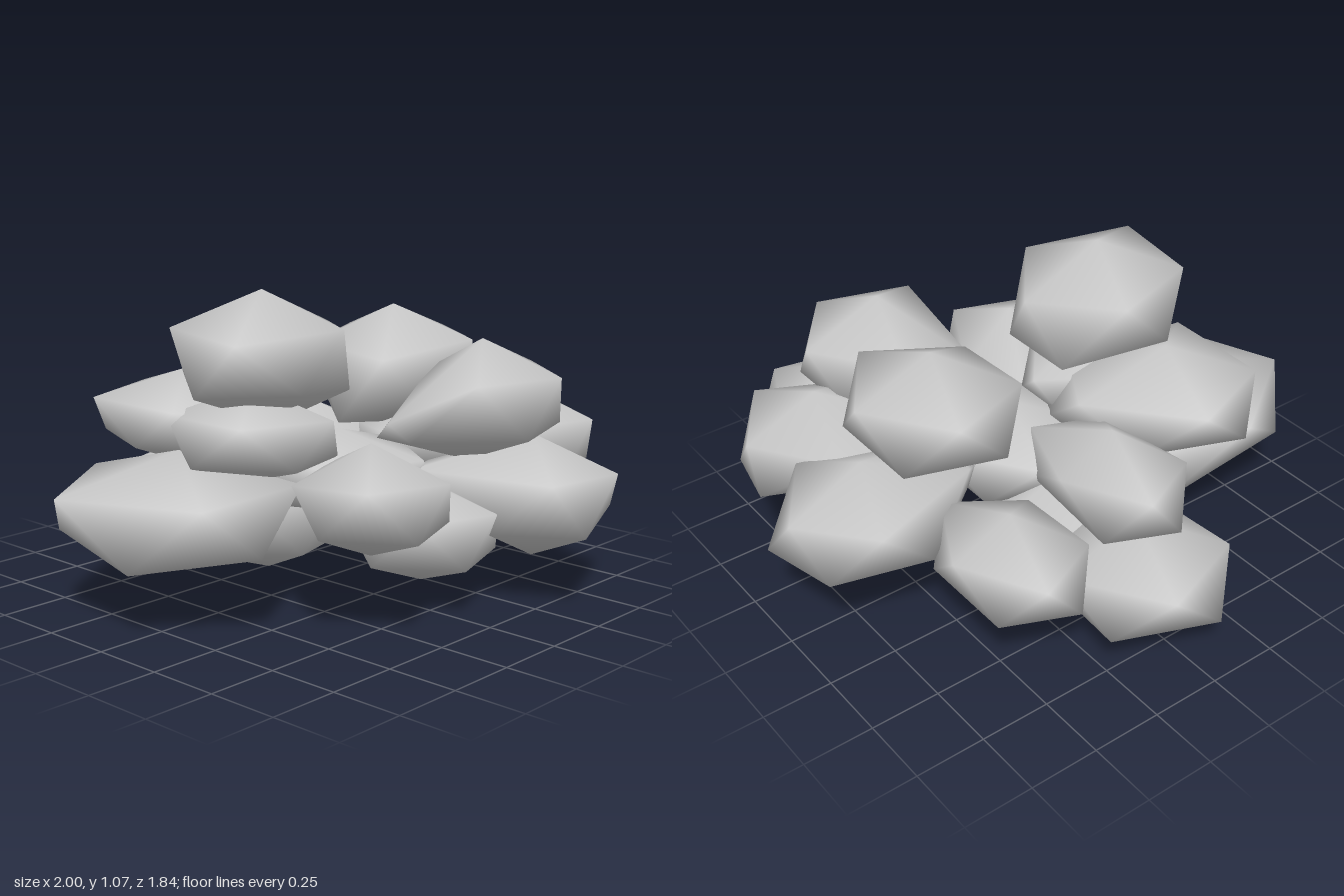
import * as THREE from 'three';
import { mergeVertices } from 'three/addons/utils/BufferGeometryUtils.js';

// Points the inner sides of the clumps are drawn towards
const HUB = new THREE.Vector3(0.03, 0.42, 0.05);
const ROOT = new THREE.Vector3(0.0, 0.0, -0.28);

// Icosahedron standing on a corner, with shared vertices for smooth shading
function clumpGeometry() {
  const g = new THREE.IcosahedronGeometry(1, 0);
  g.deleteAttribute('uv');
  g.deleteAttribute('normal');
  const welded = mergeVertices(g, 1e-4);
  welded.rotateZ(-Math.atan(2 / (1 + Math.sqrt(5))));
  return welded;
}

// Stretch the side of a clump that faces the target into a neck
function drawTowards(geometry, centre, target, pull) {
  const p = geometry.attributes.position;
  const v = new THREE.Vector3();
  const local = target.clone().sub(centre);
  const dir = local.clone().normalize();
  for (let i = 0; i < p.count; i++) {
    v.fromBufferAttribute(p, i);
    const facing = Math.max(0, v.dot(dir) / v.length());
    v.lerp(local, pull * facing * facing);
    p.setXYZ(i, v.x, v.y, v.z);
  }
}

// Move the nearest vertex of a clump out to a protruding corner
function pushCorner(geometry, centre, corner) {
  const p = geometry.attributes.position;
  const v = new THREE.Vector3();
  const local = new THREE.Vector3(...corner).sub(centre);
  let nearest = 0;
  let best = Infinity;
  for (let i = 0; i < p.count; i++) {
    const d = v.fromBufferAttribute(p, i).distanceTo(local);
    if (d < best) {
      best = d;
      nearest = i;
    }
  }
  p.setXYZ(nearest, local.x, local.y, local.z);
}

// name, centre x y z, radii x y z, turn about y, target, pull
const CLUMPS = [
  ['topLeftClump', -0.325, 0.86, 0.04, 0.345, 0.21, 0.325, 0, HUB, 0.25],
  ['topRightClump', 0.42, 0.74, -0.03, 0.325, 0.2, 0.345, 0, HUB, 0.5],
  ['upperFrontClump', 0.31, 0.67, 0.46, 0.325, 0.21, 0.31, 0, HUB, 0.45],
  ['frontLeftClump', -0.27, 0.43, 0.47, 0.275, 0.185, 0.305, 0, HUB, 0.6],
  ['frontRightClump', 0.4, 0.345, 0.62, 0.29, 0.215, 0.33, 0.15, HUB, 0.5],
  ['lowerFrontClump', 0.07, 0.25, 0.4, 0.29, 0.18, 0.3, 0, HUB, 0.5],
  ['leftClump', -0.59, 0.37, -0.08, 0.45, 0.19, 0.45, Math.PI - 0.25, ROOT, 0.45],
  ['rightClump', 0.71, 0.44, -0.04, 0.325, 0.2, 0.31, 0, HUB, 0.6],
  ['rightFrontClump', 0.64, 0.47, 0.36, 0.3, 0.2, 0.33, 0, HUB, 0.6],
  ['upperBackClump', -0.38, 0.61, -0.27, 0.335, 0.17, 0.38, 0, HUB, 0.5],
  ['upperSideClump', -0.38, 0.6, 0.05, 0.31, 0.16, 0.33, 0, HUB, 0.5],
  ['middleBackClump', 0.0, 0.5, -0.45, 0.24, 0.19, 0.33, 0, HUB, 0.5],
  ['backClump', 0.02, 0.24, -0.6, 0.34, 0.2, 0.375, 0, ROOT, 0.5],
  ['backRightClump', 0.41, 0.36, -0.44, 0.25, 0.175, 0.34, 0, ROOT, 0.5],
  // Inner masses that join the outer clumps
  ['core', 0.04, 0.4, 0.05, 0.34, 0.15, 0.36, 0, HUB, 0],
  ['lowerCore', -0.02, 0.22, -0.24, 0.38, 0.22, 0.32, 0, HUB, 0],
];

// Protruding corners of single clumps
const CORNERS = {
  topLeftClump: [[-0.64, 0.94, 0.24], [-0.64, 0.75, 0.05]],
  upperFrontClump: [[0.03, 0.6, 0.28]],
  frontLeftClump: [[-0.51, 0.5, 0.35]],
  frontRightClump: [[0.28, 0.27, 0.92], [0.67, 0.28, 0.76]],
  leftClump: [[-1, 0.45, -0.21], [-0.91, 0.23, 0.03], [-0.62, 0.28, 0.33]],
  rightClump: [[1, 0.33, 0.1], [1, 0.53, -0.07]],
  rightFrontClump: [[0.89, 0.35, 0.34]],
  upperBackClump: [[-0.67, 0.7, -0.3], [-0.67, 0.56, -0.2]],
  backClump: [[0, 0.01, -0.3], [-0.09, 0.15, -0.92], [0.28, 0.18, -0.8]],
};

export function createModel() {
  const group = new THREE.Group();
  group.name = 'foliageCluster';
  const material = new THREE.MeshStandardMaterial({ color: 0xcccccc });
  const base = clumpGeometry();

  for (const [name, x, y, z, rx, ry, rz, turn, target, pull] of CLUMPS) {
    const clump = new THREE.Mesh(base.clone(), material);
    clump.name = name;
    clump.position.set(x, y, z);
    clump.geometry.rotateY(turn);
    clump.geometry.scale(rx, ry, rz);
    drawTowards(clump.geometry, clump.position, target, pull);
    for (const corner of CORNERS[name] ?? []) pushCorner(clump.geometry, clump.position, corner);
    clump.geometry.computeVertexNormals();
    group.add(clump);
  }
  return group;
}
